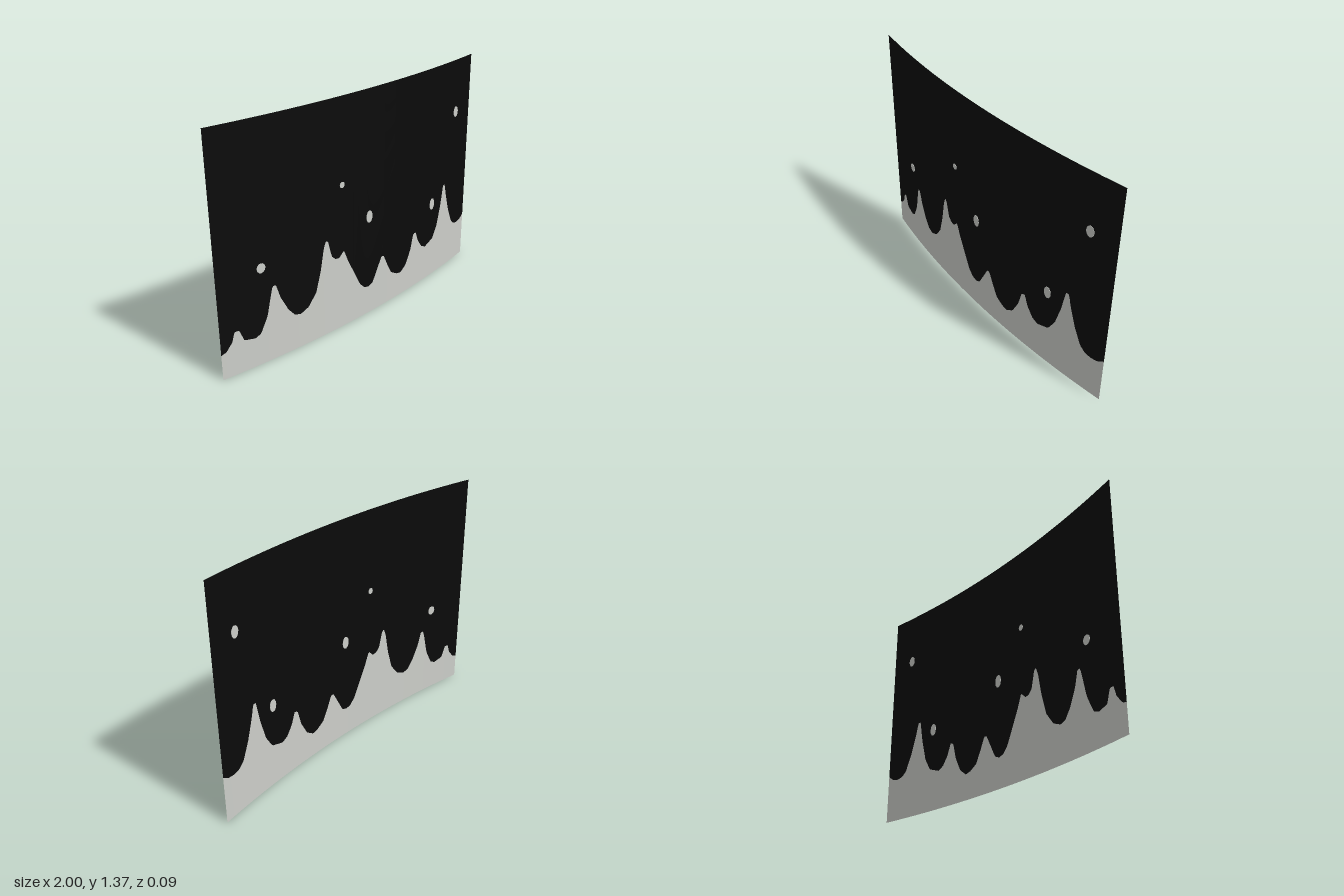
import * as THREE from 'three';

const HEIGHT = 1.37, RADIUS = 6, SAG = 0.042, COLUMNS = 240;

// Height of the pale ridge along x, as [x, y] pairs
const SKYLINE = [
  [-1, 0.15], [-0.97, 0.16], [-0.93, 0.21], [-0.92, 0.26], [-0.89, 0.26], [-0.865, 0.19],
  [-0.8, 0.175], [-0.765, 0.19], [-0.72, 0.28], [-0.69, 0.41], [-0.68, 0.445], [-0.66, 0.445],
  [-0.635, 0.36], [-0.59, 0.27], [-0.55, 0.22], [-0.51, 0.207], [-0.455, 0.23], [-0.4, 0.3],
  [-0.365, 0.42], [-0.34, 0.55], [-0.325, 0.585], [-0.31, 0.58], [-0.285, 0.48], [-0.26, 0.455],
  [-0.23, 0.45], [-0.195, 0.485], [-0.165, 0.41], [-0.115, 0.31], [-0.07, 0.22], [-0.035, 0.185],
  [0, 0.175], [0.035, 0.19], [0.075, 0.265], [0.11, 0.33], [0.13, 0.33], [0.16, 0.265],
  [0.2, 0.19], [0.25, 0.16], [0.29, 0.15], [0.34, 0.185], [0.385, 0.27], [0.41, 0.365],
  [0.435, 0.372], [0.46, 0.305], [0.5, 0.25], [0.54, 0.23], [0.62, 0.257], [0.665, 0.33],
  [0.7, 0.455], [0.725, 0.585], [0.745, 0.588], [0.76, 0.52], [0.8, 0.395], [0.845, 0.295],
  [0.88, 0.265], [0.92, 0.257], [0.96, 0.263], [1, 0.29],
];

// Floating spots: x, y, half width, half height
const SPOTS = [
  [-0.743, 0.573, 0.026, 0.028], [-0.203, 0.88, 0.017, 0.018], [0.005, 0.626, 0.024, 0.038],
  [0.6, 0.503, 0.024, 0.038], [0.835, 1.043, 0.024, 0.034],
];

function skyline(x) {
  const i = Math.max(1, SKYLINE.findIndex((p) => p[0] >= x - 1e-6));
  const [x0, y0] = SKYLINE[i - 1], [x1, y1] = SKYLINE[i];
  return y0 + (y1 - y0) * (x - x0) / (x1 - x0);
}

// Depth of the gently bowed sheet
const bow = (x) => Math.sqrt(RADIUS * RADIUS - x * x) - RADIUS + SAG;

// Bowed strip filling the space between two height functions
function curvedStrip(bottom, top) {
  const geometry = new THREE.PlaneGeometry(2, 1, COLUMNS, 1);
  const p = geometry.attributes.position;
  for (let i = 0; i < p.count; i++) {
    const x = p.getX(i);
    p.setXYZ(i, x, p.getY(i) > 0 ? top(x) : bottom(x), bow(x));
  }
  geometry.computeVertexNormals();
  return geometry;
}

export function createModel() {
  const group = new THREE.Group();
  group.name = 'curvedBackdrop';
  const black = new THREE.MeshStandardMaterial({ color: 0x0b0b0b, side: THREE.DoubleSide });
  black.name = 'black';
  const pale = new THREE.MeshStandardMaterial({ color: 0xcccec9, side: THREE.DoubleSide });
  pale.name = 'paleGrey';

  const add = (name, geometry, material) => {
    const mesh = new THREE.Mesh(geometry, material);
    mesh.name = name;
    group.add(mesh);
    return mesh;
  };

  // Two halves of the sheet, meeting along the skyline
  add('ridge', curvedStrip(() => 0, skyline), pale);
  add('sky', curvedStrip(skyline, () => HEIGHT), black);

  // Thin oval spots, showing on both faces of the sheet
  SPOTS.forEach(([x, y, rx, ry], i) => {
    const disc = new THREE.CylinderGeometry(1, 1, 0.005, 12).rotateX(Math.PI / 2).scale(rx, ry, 1);
    const spot = add(`spot${i + 1}`, disc, pale);
    spot.position.set(x, y, bow(x));
    spot.rotation.y = Math.asin(x / RADIUS);
  });
  return group;
}
